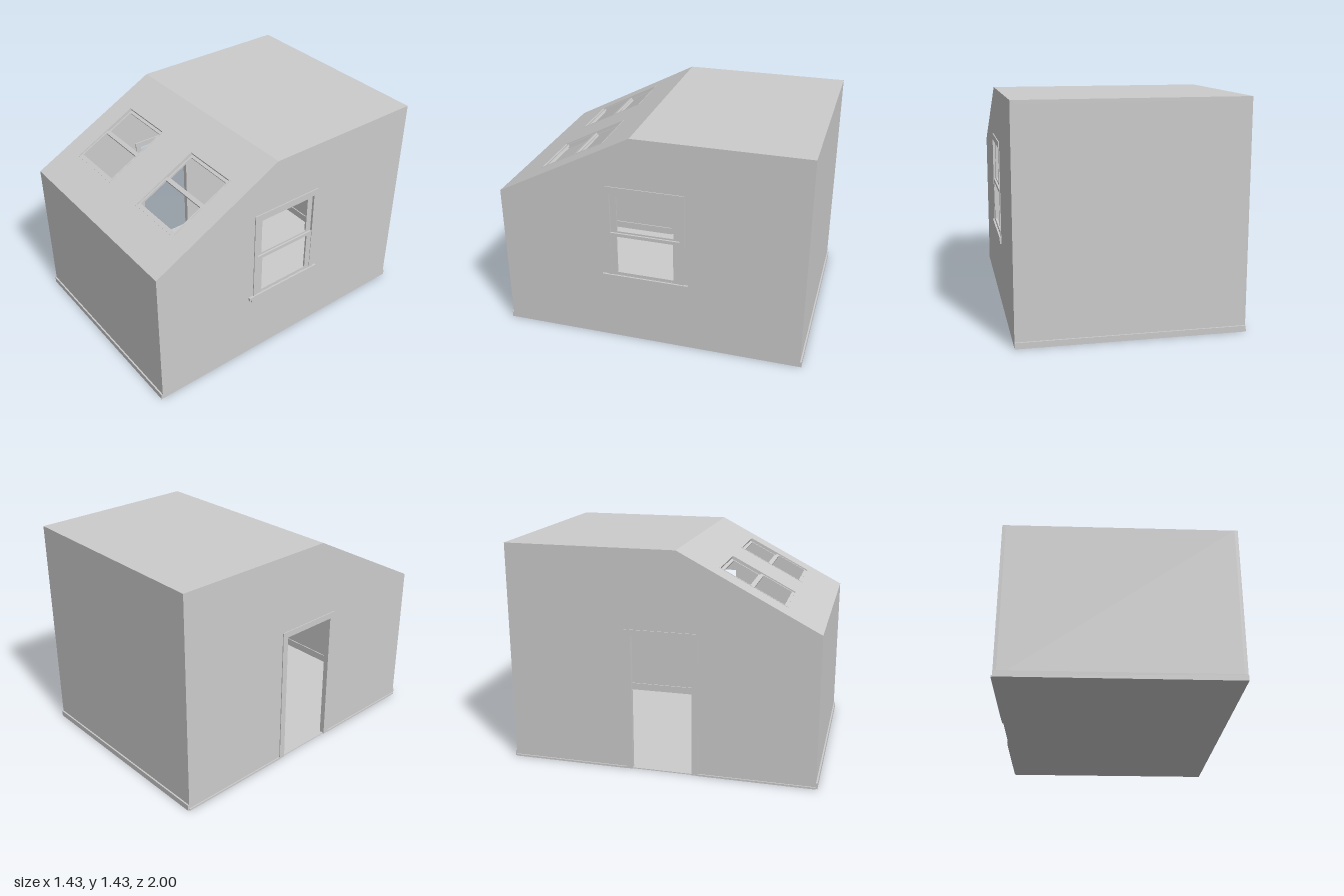
import * as THREE from 'three';

const material = new THREE.MeshStandardMaterial({ color: 0xcccccc, flatShading: true });

// Main dimensions
const X = 0.705, Z = 0.99, T = 0.02;      // half width, half depth, wall thickness
const TOP = 1.433, EAVE = 0.975, RIDGE_Z = 0.11;

function add(parent, name, geometry) {
  const mesh = new THREE.Mesh(geometry, material);
  mesh.name = name;
  parent.add(mesh);
  return mesh;
}

// Box given by its minimum and maximum corners
function box(parent, name, x0, x1, y0, y1, z0, z1) {
  const mesh = add(parent, name, new THREE.BoxGeometry(x1 - x0, y1 - y0, z1 - z0));
  mesh.position.set((x0 + x1) / 2, (y0 + y1) / 2, (z0 + z1) / 2);
  return mesh;
}

const rect = (x0, x1, y0, y1) => [[x0, y0], [x1, y0], [x1, y1], [x0, y1]]
  .map(([x, y]) => new THREE.Vector2(x, y));

// Flat panel with rectangular openings, front face at z = 0
function panel(points, holes, depth) {
  const shape = new THREE.Shape(points);
  for (const h of holes) shape.holes.push(new THREE.Path(rect(...h)));
  return new THREE.ExtrudeGeometry(shape, { depth, bevelEnabled: false }).translate(0, 0, -depth);
}

// Rectangular frame: outer bounds, inner bounds, from z0 back by depth
function frame(parent, name, outer, inner, z0, depth) {
  const mesh = add(parent, name, panel(rect(...outer), [inner], depth));
  mesh.position.z = z0;
  return mesh;
}

// Two sashes, the upper one set further back
function sashes(parent, x0, x1, y0, y1, mid, stile, rail, z) {
  frame(parent, 'upperSash', [x0, x1, mid - rail, y1],
    [x0 + stile, x1 - stile, mid + rail / 2, y1 - rail], z - 0.012, 0.012);
  frame(parent, 'lowerSash', [x0, x1, y0, mid],
    [x0 + stile, x1 - stile, y0 + rail, mid - rail], z, 0.012);
}

// Side wall outline in (z, y)
const profile = [[-Z, 0], [Z, 0], [Z, EAVE], [RIDGE_Z, TOP], [-Z, TOP]]
  .map(([z, y]) => new THREE.Vector2(z, y));

export function createModel() {
  const room = new THREE.Group();
  room.name = 'room';
  const inX = X - T;

  // Floor, front and back walls, flat roof
  box(room, 'floor', -inX, inX, 0, 0.005, -Z, Z);
  box(room, 'frontWall', -inX, inX, 0, EAVE, Z - T, Z);
  box(room, 'backWall', -inX, inX, 0, TOP - T, -Z, -Z + T);
  box(room, 'flatRoof', -inX, inX, TOP - T, TOP, -Z, RIDGE_Z);

  // Side walls: local x runs along +z, local +z faces -x
  const right = new THREE.Group();
  right.name = 'doorSide';
  right.rotation.y = -Math.PI / 2;
  right.position.x = -X;
  room.add(right);
  const doorShape = [profile[0], ...rect(-0.18, 0.21, 0, 0.89).map((p) => p.clone())];
  // the doorway cuts through the bottom edge, so it is part of the outline
  const doorOutline = [doorShape[0], doorShape[1], doorShape[4], doorShape[3], doorShape[2],
    ...profile.slice(1)];
  add(right, 'doorWall', panel(doorOutline, [], T));

  // Door casing on both faces, with a thin threshold
  for (const [z0, z1] of [[0, 0.006], [-T - 0.008, -T]]) {
    box(right, 'doorCasing', -0.22, -0.18, 0, 0.89, z0, z1);
    box(right, 'doorCasing', 0.21, 0.25, 0, 0.89, z0, z1);
    box(right, 'doorHeader', -0.22, 0.25, 0.89, 0.93, z0, z1);
  }
  box(right, 'threshold', -0.18, 0.21, 0, 0.006, -T, 0);
  for (const [a, b] of [[-Z, -0.22], [0.25, Z]]) {
    box(right, 'baseStrip', a, b, 0, 0.012, 0, 0.008);
    box(right, 'insideBaseboard', a + T, b - (b > 0 ? T : 0), 0.005, 0.06, -T - 0.008, -T);
  }

  // Window wall: local x runs along -z, local +z faces +x
  const left = new THREE.Group();
  left.name = 'windowSide';
  left.rotation.y = Math.PI / 2;
  left.position.x = X;
  room.add(left);
  const mirrored = profile.map((p) => new THREE.Vector2(-p.x, p.y)).reverse();
  const opening = [-0.25, 0.2, 0.46, 1.062];
  add(left, 'windowWall', panel(mirrored, [opening], T));
  frame(left, 'windowCasing', [-0.275, 0.23, 0.46, 1.103], opening, 0.006, 0.006);
  frame(left, 'insideWindowCasing', [-0.275, 0.23, 0.43, 1.103], opening, -T, 0.008);
  sashes(left, -0.25, 0.2, 0.46, 1.062, 0.782, 0.04, 0.022, 0.003);
  box(left, 'lowerSashRail', -0.25, 0.2, 0.46, 0.5, -0.012, 0.002);
  box(left, 'windowSill', -0.31, 0.255, 0.455, 0.478, -0.01, 0.014);
  box(left, 'sillApron', -0.29, 0.24, 0.432, 0.455, 0, 0.009);
  box(left, 'insideBaseboard', -Z + T, Z - T, 0.005, 0.06, -T - 0.008, -T);

  // Sloping roof: local y runs up the slope, local z faces out
  const slope = new THREE.Group();
  slope.name = 'slopingRoof';
  const run = Z - RIDGE_Z, rise = TOP - EAVE, length = Math.hypot(run, rise);
  slope.rotation.x = -Math.atan2(run, rise);
  slope.position.set(0, EAVE, Z);
  room.add(slope);
  const skylights = [[-0.556, -0.154], [0.15, 0.552]].map(([a, b]) => [a, b, 0.25, 0.732]);
  add(slope, 'roofPanel', panel(rect(-inX, inX, 0, length), skylights, T));
  for (const [x0, x1, y0, y1] of skylights) {
    const light = new THREE.Group();
    light.name = 'skylight';
    slope.add(light);
    frame(light, 'skylightLining', [x0, x1, y0, y1],
      [x0 + 0.008, x1 - 0.008, y0 + 0.01, y1 - 0.008], 0.002, 0.034);
    sashes(light, x0 + 0.008, x1 - 0.008, y0 + 0.01, y1 - 0.008, 0.51, 0.012, 0.02, -0.006);
  }

  // Skirting along front and back, outside and inside
  for (const s of [-1, 1]) {
    const strip = (name, h0, h1, a, b, w) =>
      box(room, name, -w, w, h0, h1, Math.min(s * a, s * b), Math.max(s * a, s * b));
    strip('skirting', 0, 0.038, Z, 1, X);
    strip('insideBaseboard', 0.005, 0.06, Z - T - 0.008, Z - T, inX);
  }
  return room;
}
